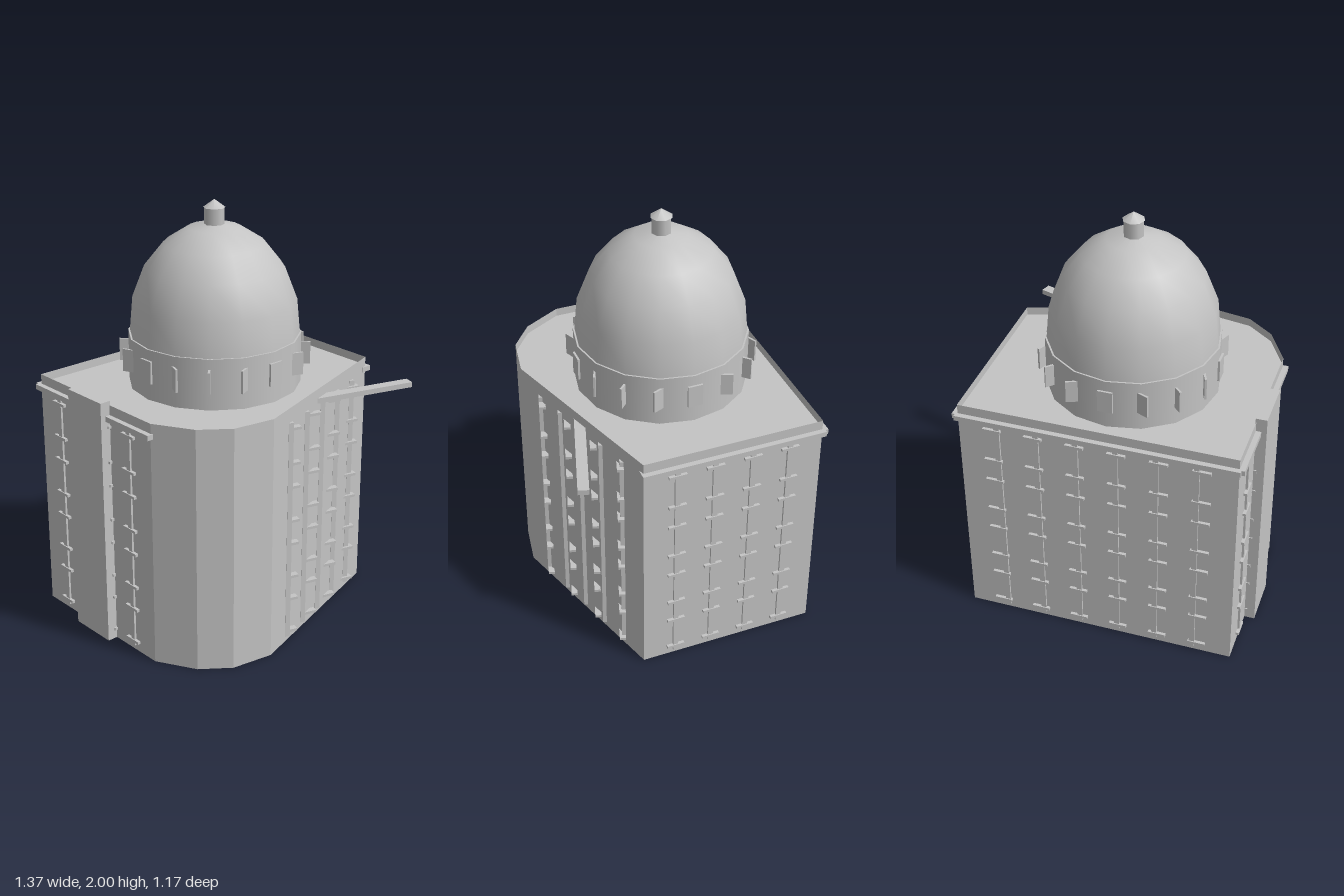
import * as THREE from 'three';

export function createModel() {
  const model = new THREE.Group();
  const stone = new THREE.MeshStandardMaterial({ color: 0xc4c4c4, side: THREE.DoubleSide });
  stone.name = 'stone';

  const add = (parent, name, geometry, x = 0, y = 0, z = 0, turn = 0) => {
    const mesh = new THREE.Mesh(geometry, stone);
    mesh.name = name;
    mesh.position.set(x, y, z);
    mesh.rotation.y = turn;
    parent.add(mesh);
    return mesh;
  };

  const wallTop = 1.18, roofY = 1.14;

  // Footprint corners (x, z), running along the front from left to right, then around the back
  const plan = [
    [-0.64, 0.24], [-0.54, 0.42], [-0.41, 0.52], [-0.21, 0.555],
    [0.66, 0.285], [0.66, -0.565], [-0.64, -0.565],
  ];

  // Decorated walls by starting corner: pilaster count and spacing, sill count and spacing
  const decorated = {
    3: { name: 'front', posts: 5, postStep: 1 / 6, sills: 4, sillStep: 0.213 },
    4: { name: 'right', posts: 4, postStep: 0.21, sills: 4, sillStep: 0.21 },
    5: { name: 'back', posts: 6, postStep: 1 / 7, sills: 6, sillStep: 0.15 },
    6: { name: 'left', posts: 4, postStep: 0.21, sills: 4, sillStep: 0.21 },
  };

  // Thin shell walls, rising above the roof as a parapet
  plan.forEach(([x0, z0], i) => {
    const [x1, z1] = plan[(i + 1) % plan.length];
    const length = Math.hypot(x1 - x0, z1 - z0);
    const angle = Math.atan2(z0 - z1, x1 - x0);
    const side = new THREE.Group();
    const style = decorated[i];
    side.name = style ? style.name + 'Side' : 'cornerSide' + i;
    side.position.set((x0 + x1) / 2, 0, (z0 + z1) / 2);
    side.rotation.y = angle;
    model.add(side);
    add(side, 'wall', new THREE.PlaneGeometry(length, wallTop), 0, wallTop / 2, 0);
    if (!style) return;

    // Trim is skewed against the slanted wall, parallel on the straight ones
    const skew = -2 * angle;
    const spread = (count, step, place) => {
      for (let k = 0; k < count; k++) place((k - (count - 1) / 2) * step * length);
    };
    add(side, 'cornice', new THREE.BoxGeometry(length + 0.02, 0.025, 0.05), 0, 1.121, 0, skew);
    const post = new THREE.BoxGeometry(0.025, 1.085, 0.02);
    const sill = new THREE.BoxGeometry(0.085, 0.013, 0.03);
    spread(style.posts, style.postStep, (x) => add(side, 'pilaster', post, x, 0.5675, 0, skew));
    spread(style.sills, style.sillStep, (x) => {
      for (let floor = 0; floor < 4; floor++) {
        for (const y of [0.05, 0.22]) add(side, 'windowSill', sill, x, y + floor * 0.286, 0, skew);
      }
    });
  });

  // Flat roof, slightly below the parapet
  const outline = new THREE.Shape(plan.map(([x, z]) => new THREE.Vector2(x, -z)));
  add(model, 'roof', new THREE.ShapeGeometry(outline).rotateX(-Math.PI / 2), 0, roofY, 0);

  // Shaft on the side wall
  add(model, 'sideShaft', new THREE.BoxGeometry(0.053, 1.2, 0.24), -0.663, 0.6, -0.164);

  // Drum, dome and lantern share one axis
  const rotunda = new THREE.Group();
  rotunda.name = 'rotunda';
  rotunda.position.set(-0.005, 0, -0.06);
  model.add(rotunda);

  add(rotunda, 'drum', new THREE.CylinderGeometry(0.403, 0.403, 1.38 - roofY, 16), 0, (1.38 + roofY) / 2, 0);

  const domeProfile = [
    [0.395, 1.38], [0.38, 1.54], [0.322, 1.69], [0.234, 1.80], [0.122, 1.872], [0, 1.895],
  ].map(([r, y]) => new THREE.Vector2(r, y));
  add(rotunda, 'dome', new THREE.LatheGeometry(domeProfile, 16));

  // Drum window plates, turned opposite to their position around the drum
  const plate = new THREE.BoxGeometry(0.07, 0.107, 0.01);
  for (let k = 0; k < 16; k++) {
    const a = (k * Math.PI) / 8;
    add(rotunda, 'drumWindow', plate, 0.41 * Math.sin(a), 1.279, 0.41 * Math.cos(a), -a);
  }

  add(rotunda, 'lantern', new THREE.CylinderGeometry(0.046, 0.046, 0.09, 8), 0, 1.92, 0);
  add(rotunda, 'lanternCap', new THREE.ConeGeometry(0.051, 0.037, 8), 0, 1.9815, 0);

  return model;
}
